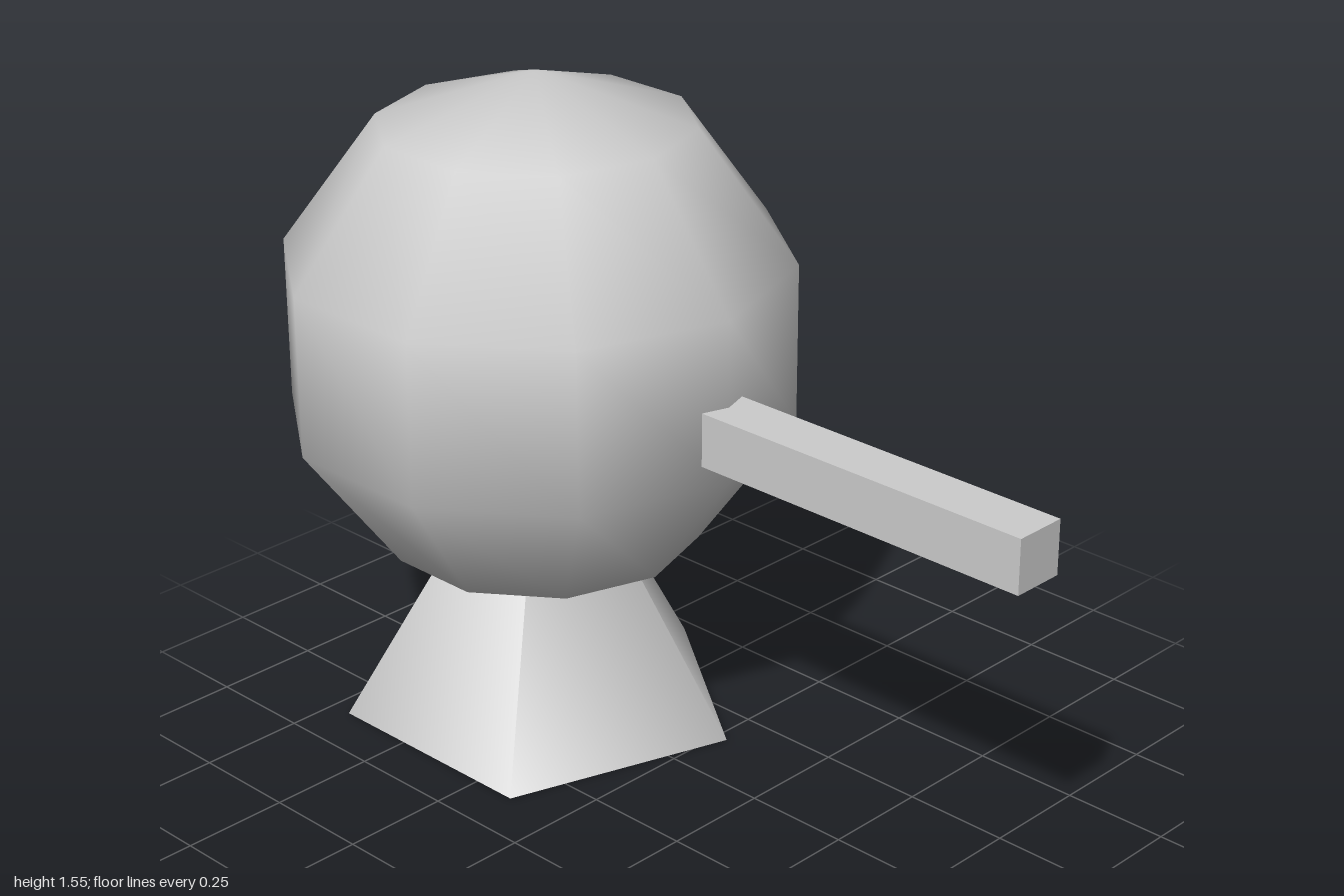
import * as THREE from 'three';

const CENTRE_Z = -0.418;

export function createModel() {
  const model = new THREE.Group();
  const material = new THREE.MeshStandardMaterial({ color: 0xcccccc });

  const add = (name, geometry, x, y, z) => {
    const mesh = new THREE.Mesh(geometry, material);
    mesh.name = name;
    mesh.position.set(x, y, z);
    model.add(mesh);
    return mesh;
  };

  // Low-poly ball with smooth shading, a column of corners facing front
  add('ball', new THREE.SphereGeometry(0.611, 10, 5).rotateY(Math.PI / 2), 0, 0.94, CENTRE_Z);

  // Five-sided cone stand, one corner towards +x, its tip inside the ball
  const coneHeight = 0.79;
  add('stand', new THREE.ConeGeometry(0.47, coneHeight, 5).rotateY(Math.PI / 2), 0, coneHeight / 2, CENTRE_Z);

  // Square bar reaching forward out of the ball
  const barBack = 0.05, barFront = 1;
  add('bar', new THREE.BoxGeometry(0.125, 0.125, barFront - barBack), 0, 0.868, (barFront + barBack) / 2);

  return model;
}
